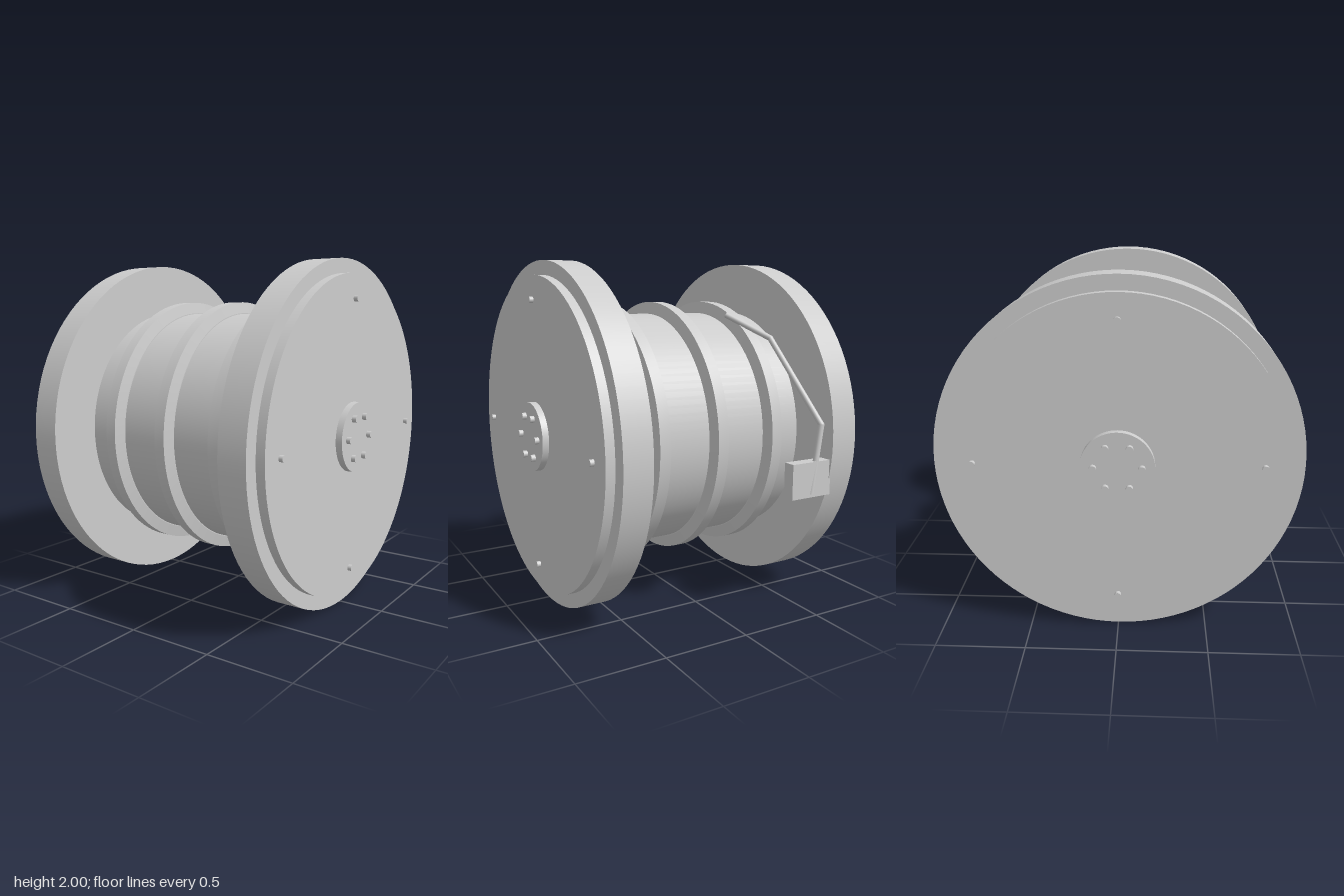
import * as THREE from 'three';
import { toCreasedNormals } from 'three/addons/utils/BufferGeometryUtils.js';

export function createModel() {
  const steel = new THREE.MeshStandardMaterial({ color: 0xcccccc });
  steel.name = 'grey steel';
  const group = new THREE.Group();
  group.name = 'cableDrum';

  const add = (name, geometry, x, y, z) => {
    const mesh = new THREE.Mesh(geometry, steel);
    mesh.name = name;
    mesh.position.set(x, y, z);
    group.add(mesh);
    return mesh;
  };

  // Disc or rod lying along x between x0 and x1
  const disc = (name, radius, x0, x1, y = 1, z = 0, sides = 96) =>
    add(name, new THREE.CylinderGeometry(radius, radius, Math.abs(x1 - x0), sides).rotateZ(Math.PI / 2),
      (x0 + x1) / 2, y, z);

  // Drum barrel
  disc('barrel', 0.695, -0.58, 0.58);

  // Raised ribs with sloping sides
  const ribProfile = [[0.69, -0.047], [0.7, -0.047], [0.766, -0.033], [0.766, 0.033], [0.7, 0.047], [0.69, 0.047]]
    .map(([r, h]) => new THREE.Vector2(r, h));
  const ribGeometry = toCreasedNormals(new THREE.LatheGeometry(ribProfile, 96), 0.15).rotateZ(-Math.PI / 2);
  for (const x of [-0.367, 0, 0.367]) add('rib', ribGeometry, x, 1, 0);

  // Flanges, end plates, hubs and bolts on both ends
  for (const s of [-1, 1]) {
    disc('flange', 1, s * 0.57, s * 0.735);
    disc('endPlate', 0.918, s * 0.725, s * 0.787);
    disc('hub', 0.2, s * 0.78, s * 0.825);
    for (let i = 0; i < 6; i++) {
      const a = i * Math.PI / 3;
      disc('hubBolt', 0.02, s * 0.815, s * 0.85, 1 + 0.13 * Math.sin(a), 0.13 * Math.cos(a), 16);
    }
    for (let i = 0; i < 4; i++) {
      const a = i * Math.PI / 2;
      disc('plateBolt', 0.018, s * 0.78, s * 0.81, 1 + 0.78 * Math.sin(a), 0.78 * Math.cos(a), 16);
    }
  }

  // Bracket block on the inside of one flange
  add('bracket', new THREE.BoxGeometry(0.27, 0.2, 0.07), -0.445, 0.8, -0.943);

  // Bent guide arm
  const armRadius = 0.017;
  const armPoints = [[-0.45, 0.715, -0.968], [-0.52, 1.1, -0.955], [-0.45, 1.56, -0.575], [-0.29, 1.69, -0.355]]
    .map(p => new THREE.Vector3(...p));
  const up = new THREE.Vector3(0, 1, 0);
  for (let i = 0; i < 3; i++) {
    const a = armPoints[i], b = armPoints[i + 1];
    const dir = b.clone().sub(a);
    const mid = a.clone().add(b).multiplyScalar(0.5);
    const rod = add('guideArm', new THREE.CylinderGeometry(armRadius, armRadius, dir.length(), 20), mid.x, mid.y, mid.z);
    rod.quaternion.setFromUnitVectors(up, dir.normalize());
    if (i > 0) add('armElbow', new THREE.SphereGeometry(armRadius, 20, 12), a.x, a.y, a.z);
  }

  return group;
}
